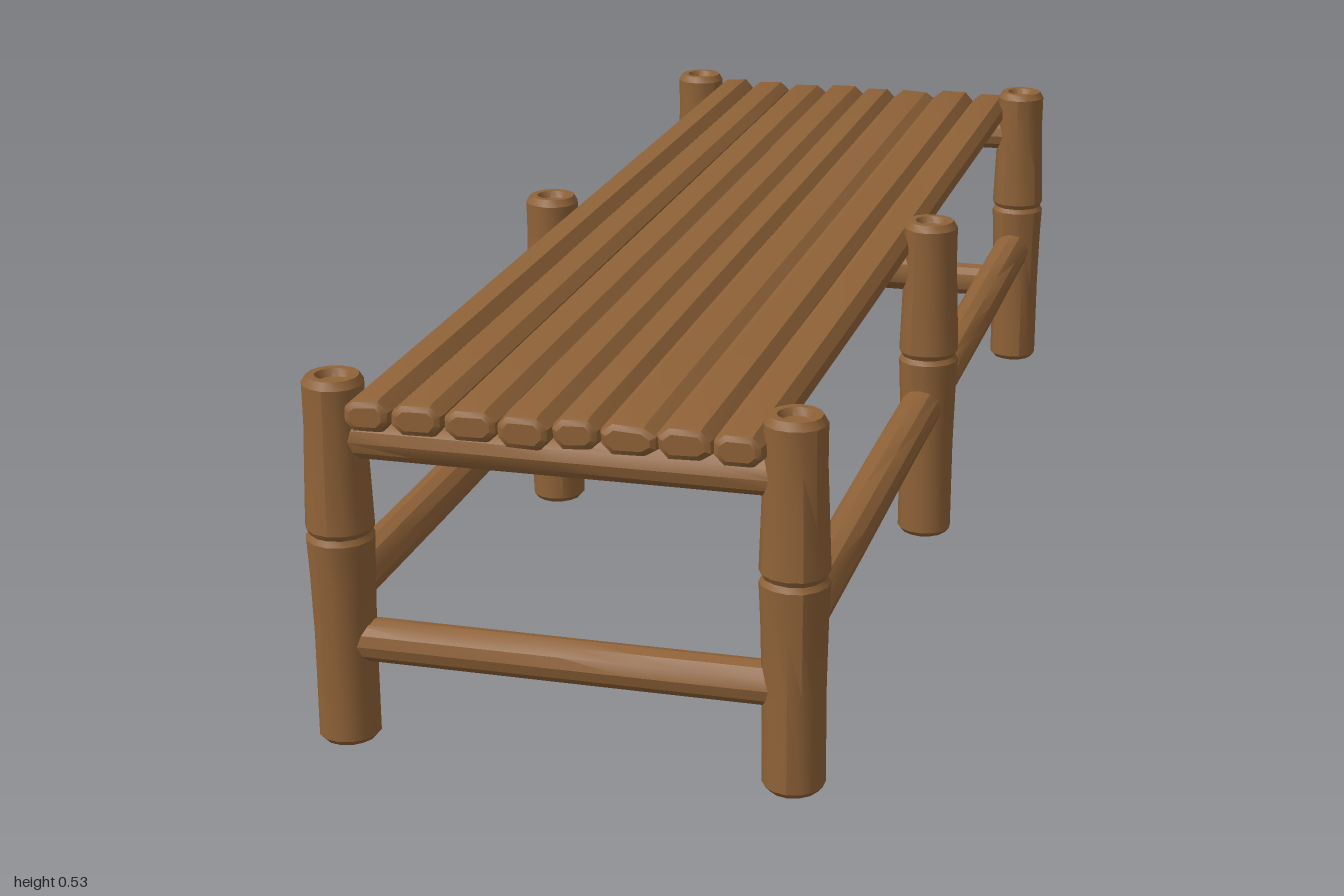
import * as THREE from 'three';
import { toCreasedNormals } from 'three/addons/utils/BufferGeometryUtils.js';

const wood = new THREE.MeshStandardMaterial({ color: 0x8f6238 });

// Repeatable pseudo-random value in -1..1
function makeRandom(seed) {
  let s = seed;
  return () => {
    s = (s * 16807) % 2147483647;
    return (s / 2147483647) * 2 - 1;
  };
}

// Push vertices in or out around the y axis so a turned piece looks hand-hewn
function hew(geometry, amount, phase) {
  const p = geometry.attributes.position;
  for (let i = 0; i < p.count; i++) {
    const x = p.getX(i), y = p.getY(i), z = p.getZ(i);
    const a = Math.atan2(z, x);
    const k = 1 + amount * (Math.sin(3 * a + phase + y * 5) + 0.6 * Math.sin(5 * a - phase * 2 + y * 9));
    p.setXYZ(i, x * k, y, z * k);
  }
  return toCreasedNormals(geometry, 0.5);
}

function addMesh(parent, geometry, name) {
  const mesh = new THREE.Mesh(geometry, wood);
  mesh.name = name;
  parent.add(mesh);
  return mesh;
}

// Jointed post: chamfered ends with a shallow hollow, swelling to a notch
function postGeometry(phase) {
  const profile = [
    [0, 0.012], [0.02, 0.009], [0.025, 0], [0.036, 0], [0.043, 0.008],
    [0.043, 0.15], [0.045, 0.24], [0.0475, 0.297], [0.043, 0.305],
    [0.0475, 0.313], [0.045, 0.38], [0.042, 0.46], [0.0425, 0.517],
    [0.036, 0.528], [0.025, 0.528], [0.02, 0.518], [0, 0.515],
  ].map(([r, y]) => new THREE.Vector2(r, y));
  return hew(new THREE.LatheGeometry(profile, 14), 0.014, phase);
}

function railGeometry(radius, length, phase) {
  return hew(new THREE.CylinderGeometry(radius, radius, length, 12, 6), 0.014, phase);
}

// Slat: uneven eight-sided section with chamfered ends, running along z
function slatGeometry(width, height, length, random) {
  const bevel = 0.01;
  const w = width / 2 - bevel, h = height / 2 - bevel;
  const corners = [
    [w, -h * 0.35], [w, h * 0.35], [w * 0.65, h], [-w * 0.65, h],
    [-w, h * 0.35], [-w, -h * 0.35], [-w * 0.65, -h], [w * 0.65, -h],
  ].map(([x, y]) => new THREE.Vector2(x * (1 + random() * 0.04), y * (1 + random() * 0.1)));
  const geometry = new THREE.ExtrudeGeometry(new THREE.Shape(corners), {
    depth: length - 0.032, steps: 6,
    bevelEnabled: true, bevelThickness: 0.016, bevelSize: bevel, bevelSegments: 2,
  });
  geometry.translate(0, 0, -length / 2 + 0.016);
  // Slight waviness along the length
  const p = geometry.attributes.position;
  const phase = random() * 3;
  for (let i = 0; i < p.count; i++) {
    const wave = Math.sin(p.getZ(i) * 5 + phase);
    p.setX(i, p.getX(i) + wave * 0.0012);
    p.setY(i, p.getY(i) + wave * 0.0008);
  }
  return toCreasedNormals(geometry, 0.5);
}

export function createModel() {
  const model = new THREE.Group();
  model.name = 'slattedBench';
  const random = makeRandom(4211);
  const postX = 0.316, postZ = 0.943;

  // Six posts
  const posts = new THREE.Group();
  posts.name = 'posts';
  model.add(posts);
  for (const side of [-1, 1]) {
    for (const row of [-1, 0, 1]) {
      const post = addMesh(posts, postGeometry(random() * 3), 'post');
      post.position.set(side * postX, 0, row * postZ);
    }
  }

  // Cross rails: an upper one at each pair of posts, a lower one at the ends
  const crossRails = new THREE.Group();
  crossRails.name = 'crossRails';
  model.add(crossRails);
  for (const row of [-1, 0, 1]) {
    for (const y of row ? [0.444, 0.148] : [0.444]) {
      const rail = addMesh(crossRails, railGeometry(0.0305, postX * 2 - 0.04, random() * 3), 'crossRail');
      rail.rotation.z = Math.PI / 2;
      rail.position.set(0, y, row * postZ);
    }
  }

  // Long side rails between neighbouring posts
  const sideRails = new THREE.Group();
  sideRails.name = 'sideRails';
  model.add(sideRails);
  for (const side of [-1, 1]) {
    for (const half of [-1, 1]) {
      const rail = addMesh(sideRails, railGeometry(0.033, postZ - 0.04, random() * 3), 'sideRail');
      rail.rotation.x = Math.PI / 2;
      rail.position.set(side * 0.312, 0.222, half * postZ / 2);
    }
  }

  // Eight long slats of slightly different widths
  const slats = new THREE.Group();
  slats.name = 'slats';
  model.add(slats);
  const edges = [-0.286, -0.22, -0.147, -0.073, 0, 0.065, 0.143, 0.218, 0.285];
  for (let i = 0; i < 8; i++) {
    const width = edges[i + 1] - edges[i];
    const length = i === 3 ? 2 : 1.985 + random() * 0.008;
    const slat = addMesh(slats, slatGeometry(width, 0.046, length, random), 'slat');
    slat.position.set((edges[i] + edges[i + 1]) / 2, 0.488 + random() * 0.0015, 0);
    slat.rotation.z = random() * 0.03;
  }

  return model;
}
